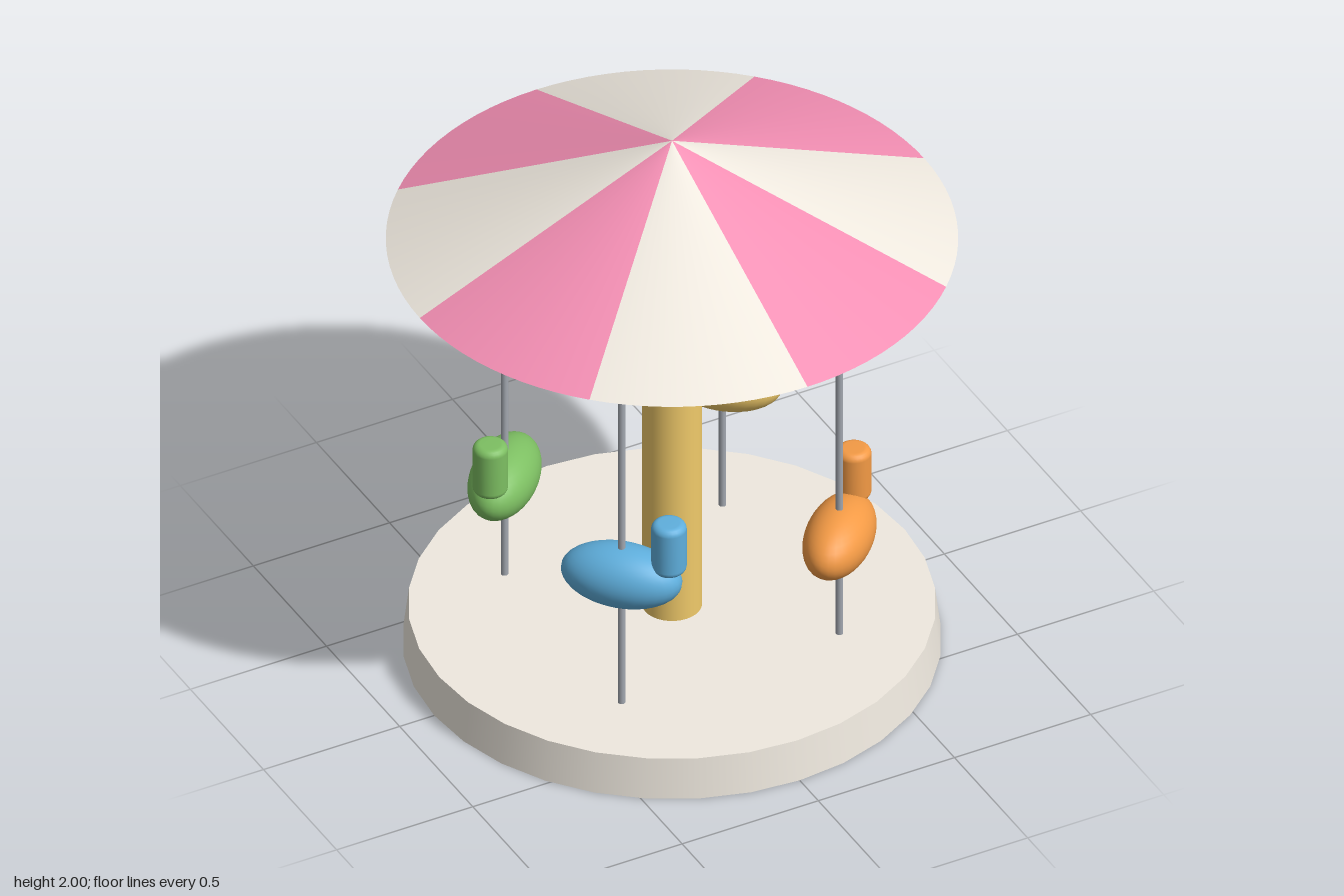
import * as THREE from 'three';

const CREAM = 0xefe9df, PINK = 0xf48fb4, GOLD = 0xf0ca6a, STEEL = 0xa3a8b0;

function part(name, geometry, color, x = 0, y = 0, z = 0) {
  const mesh = new THREE.Mesh(geometry, new THREE.MeshStandardMaterial({ color }));
  mesh.name = name;
  mesh.position.set(x, y, z);
  return mesh;
}

// Upright cylinder with softly rounded rims, standing on y = 0
function roundedCylinder(radius, height, bevel) {
  const points = [new THREE.Vector2(0, 0)];
  for (const [cy, start] of [[bevel, -Math.PI / 2], [height - bevel, 0]]) {
    for (let i = 0; i <= 5; i++) {
      const a = start + (i / 5) * (Math.PI / 2);
      points.push(new THREE.Vector2(radius - bevel + bevel * Math.cos(a), cy + bevel * Math.sin(a)));
    }
  }
  points.push(new THREE.Vector2(0, height));
  return new THREE.LatheGeometry(points, 24);
}

export function createModel() {
  const model = new THREE.Group();
  model.name = 'carousel';
  const baseTop = 0.148, eaves = 1.61, apex = 2;

  // Platform and central column
  model.add(part('platform', new THREE.CylinderGeometry(0.855, 0.873, baseTop, 32), CREAM, 0, baseTop / 2));
  model.add(part('column', new THREE.CylinderGeometry(0.098, 0.098, eaves - baseTop, 32), GOLD, 0, (eaves + baseTop) / 2));

  // Striped canopy: eight wedges of one cone, closed underneath
  const canopy = new THREE.Group();
  canopy.name = 'canopy';
  for (let i = 0; i < 8; i++) {
    const wedge = new THREE.ConeGeometry(0.926, apex - eaves, 12, 1, false, i * Math.PI / 4, Math.PI / 4);
    canopy.add(part('canopyStripe', wedge, i % 2 ? CREAM : PINK, 0, (apex + eaves) / 2));
  }
  model.add(canopy);

  // Four mounts facing along the direction of travel, alternately low and high
  const poleGeometry = new THREE.CylinderGeometry(0.0125, 0.0125, eaves - baseTop, 12);
  const bodyGeometry = new THREE.SphereGeometry(1, 32, 20).scale(0.11, 0.109, 0.203);
  const headGeometry = roundedCylinder(0.058, 0.192, 0.024);
  const colors = [0xf39a45, GOLD, 0x7dbf62, 0x5fafdd];
  colors.forEach((color, i) => {
    const seat = new THREE.Group();
    seat.name = 'mount';
    seat.rotation.y = -Math.PI / 4 + i * Math.PI / 2;
    const x = 0.4 * Math.SQRT2;
    const y = i % 2 ? 0.658 : 0.538;
    seat.add(
      part('pole', poleGeometry, STEEL, x, (eaves + baseTop) / 2),
      part('body', bodyGeometry, color, x, y),
      part('head', headGeometry, color, x, y + 0.05, -0.16)
    );
    model.add(seat);
  });

  return model;
}
